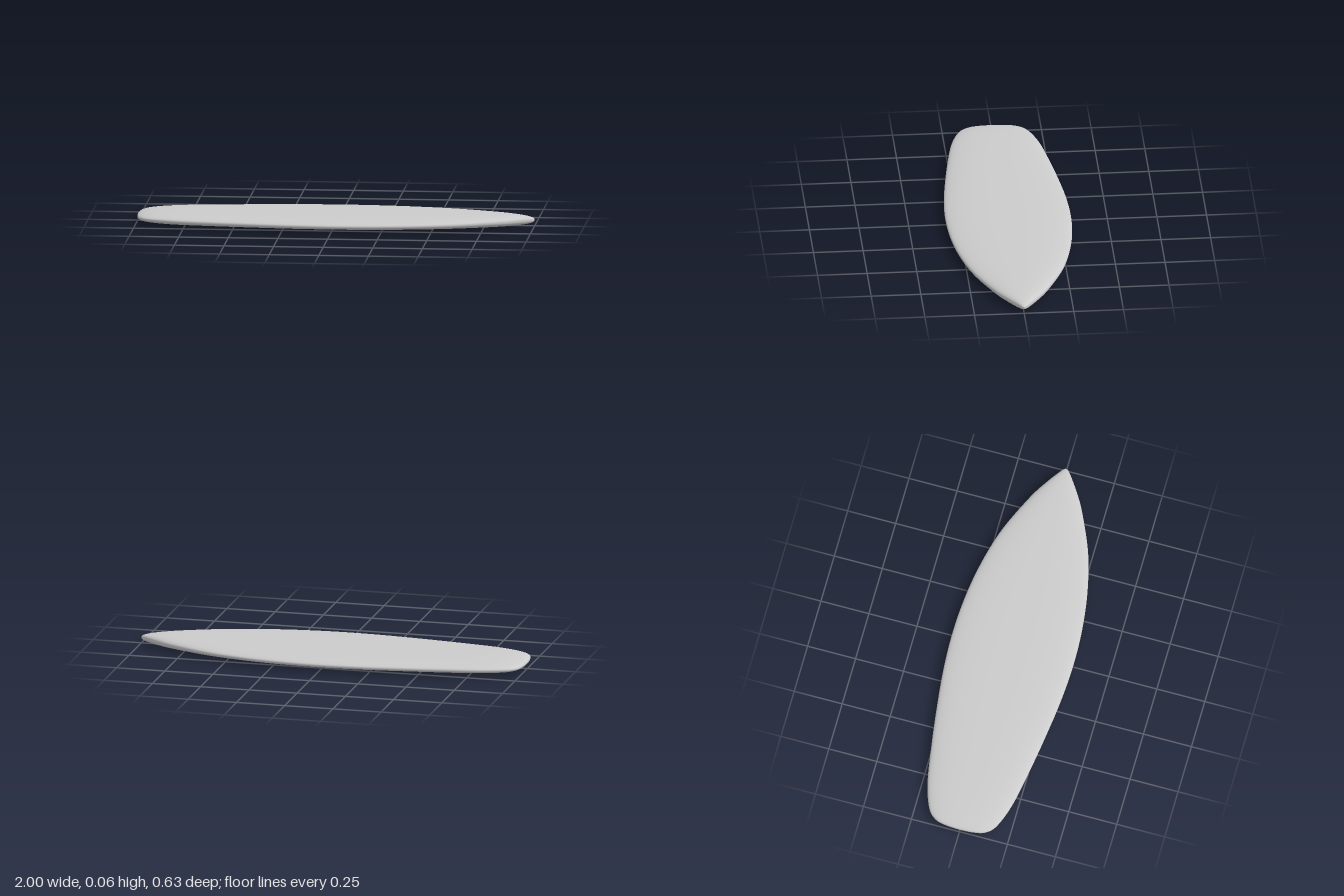
import * as THREE from 'three';
import { mergeVertices } from 'three/addons/utils/BufferGeometryUtils.js';

const HALF_THICKNESS = 0.03;
const STATIONS = 160;
const SIDES = 64;

// Half outline of the board, tail to nose: (x, half width)
const outline = new THREE.SplineCurve([
  [-1, 0], [-0.996, 0.07], [-0.98, 0.13], [-0.93, 0.177], [-0.8, 0.222],
  [-0.6, 0.257], [-0.4, 0.285], [-0.2, 0.307], [0, 0.316], [0.2, 0.307],
  [0.4, 0.278], [0.6, 0.225], [0.8, 0.138], [0.9, 0.08], [0.985, 0.02], [1, 0],
].map(([x, w]) => new THREE.Vector2(x, w)));

// Signed power, gives the superelliptic rails
const spow = (v, p) => Math.sign(v) * Math.abs(v) ** p;

function boardGeometry() {
  const positions = [];
  const index = [];
  for (let i = 0; i <= STATIONS; i++) {
    // Stations crowd together towards the rounded ends
    const p = outline.getPoint((1 - Math.cos((Math.PI * i) / STATIONS)) / 2);
    const x = THREE.MathUtils.clamp(p.x, -1, 1);
    const width = Math.max(0, p.y);
    const thick = HALF_THICKNESS * (1 - Math.abs(x) ** 10) ** 0.4;
    for (let j = 0; j < SIDES; j++) {
      const a = (2 * Math.PI * j) / SIDES;
      positions.push(x, HALF_THICKNESS + thick * spow(Math.sin(a), 0.8), width * spow(Math.cos(a), 0.8));
      if (i === STATIONS) continue;
      const k = (j + 1) % SIDES;
      const r0 = i * SIDES;
      const r1 = r0 + SIDES;
      index.push(r0 + j, r1 + j, r0 + k, r1 + j, r1 + k, r0 + k);
    }
  }
  let geometry = new THREE.BufferGeometry();
  geometry.setAttribute('position', new THREE.Float32BufferAttribute(positions, 3));
  geometry.setIndex(index);
  // Join the points that meet at the tips, then smooth
  geometry = mergeVertices(geometry, 1e-5);
  geometry.computeVertexNormals();
  return geometry;
}

export function createModel() {
  const group = new THREE.Group();
  group.name = 'surfboard';
  const board = new THREE.Mesh(boardGeometry(), new THREE.MeshStandardMaterial({ color: 0xcccccc }));
  board.name = 'board';
  group.add(board);
  return group;
}
